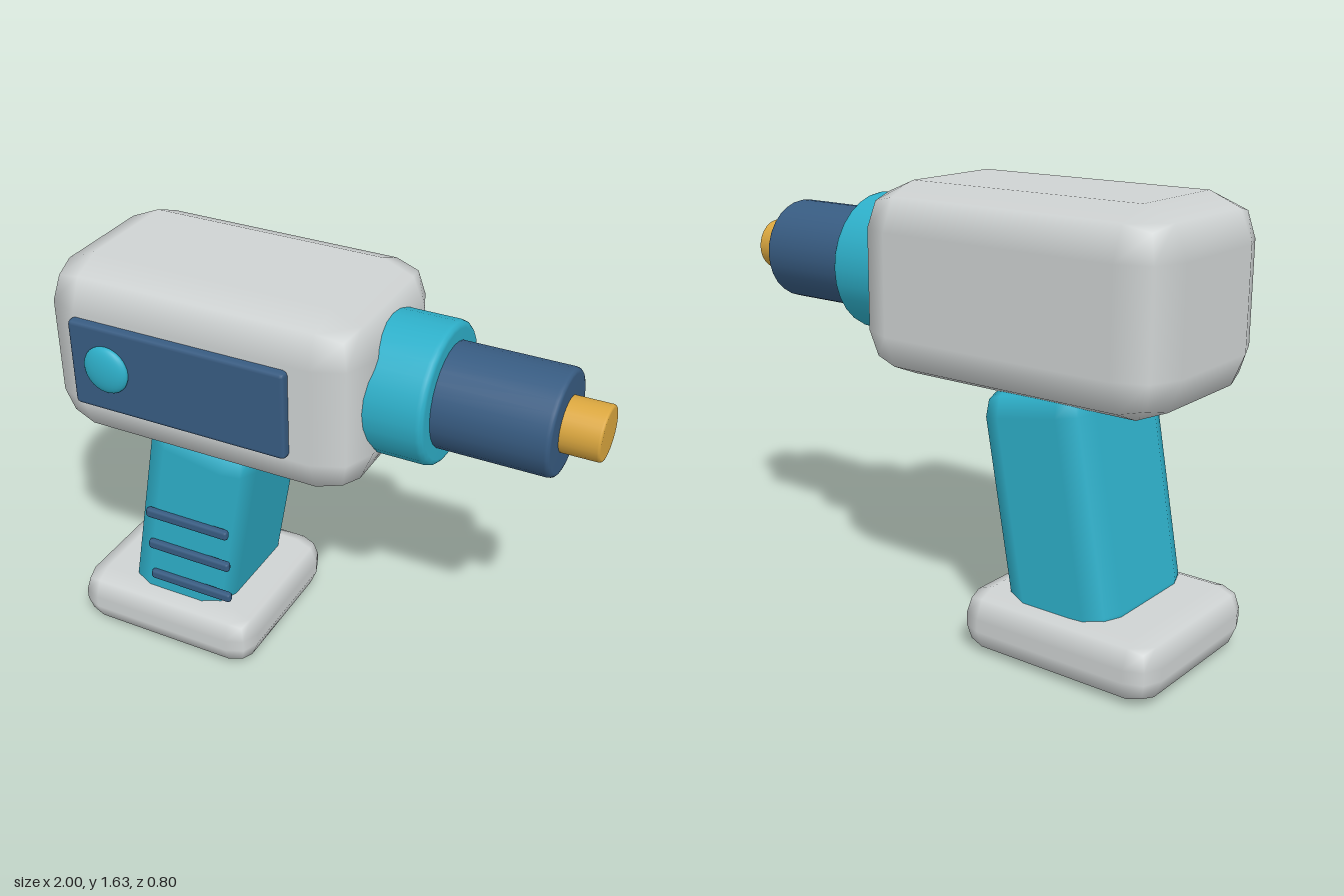
import * as THREE from 'three';
import { RoundedBoxGeometry } from 'three/addons/geometries/RoundedBoxGeometry.js';

const MID_Z = -0.035; // centre plane of the tool
const AXIS_Y = 1.283; // height of the drive axis

function material(name, color) {
  const m = new THREE.MeshStandardMaterial({ color });
  m.name = name;
  return m;
}

export function createModel() {
  const shell = material('light grey shell', 0xcfd3d3);
  const teal = material('teal grip', 0x2eb0ca);
  const navy = material('navy trim', 0x385c82);
  const gold = material('gold bit', 0xdba73f);

  const group = new THREE.Group();
  group.name = 'cordlessDrill';

  function add(name, geometry, mat, x, y, z) {
    const mesh = new THREE.Mesh(geometry, mat);
    mesh.name = name;
    mesh.position.set(x, y, z);
    group.add(mesh);
    return mesh;
  }

  // Box with a two-facet bevel on every edge
  function box(name, size, radius, mat, x, y, z) {
    return add(name, new RoundedBoxGeometry(...size, 1, radius), mat, x, y, z);
  }

  // Cylinder along x with softened rims
  function barrel(name, x0, x1, r, bevel, mat) {
    const h = (x1 - x0) / 2;
    const points = [new THREE.Vector2(0, -h)];
    for (const [side, start] of [[-1, -Math.PI / 2], [1, 0]]) {
      for (let i = 0; i <= 3; i++) {
        const a = start + (i / 3) * Math.PI / 2;
        points.push(new THREE.Vector2(
          r - bevel + Math.cos(a) * bevel,
          side * (h - bevel) + Math.sin(a) * bevel));
      }
    }
    points.push(new THREE.Vector2(0, h));
    const geometry = new THREE.LatheGeometry(points, 28);
    geometry.rotateZ(-Math.PI / 2);
    return add(name, geometry, mat, (x0 + x1) / 2, AXIS_Y, MID_Z);
  }

  // Motor housing and battery foot
  box('housing', [1.25, 0.69, 0.735], 0.163, shell, -0.375, 1.284, MID_Z);
  box('batteryBase', [0.79, 0.235, 0.695], 0.095, shell, -0.605, 0.1175, MID_Z);

  // Leaning handle
  const handle = box('handle', [0.44, 0.89, 0.545], 0.1, teal, -0.518, 0.55, -0.042);
  handle.rotation.z = -0.18;

  // Grip bars on the handle's side
  for (const y of [0.305, 0.455, 0.606]) {
    box('gripBar', [0.36, 0.04, 0.03], 0.012, navy, -0.49, y, 0.239);
  }

  // Side panel with its button
  box('sidePanel', [0.855, 0.335, 0.06], 0.016, navy, -0.417, 1.283, 0.335);
  const button = add('button', new THREE.SphereGeometry(1, 24, 16), teal, -0.69, 1.293, 0.371);
  button.scale.set(0.09, 0.09, 0.031);

  // Collar, chuck and bit
  barrel('collar', 0.1, 0.445, 0.257, 0.025, teal);
  barrel('chuck', 0.3, 0.86, 0.19, 0.018, navy);
  barrel('bit', 0.75, 1.0, 0.099, 0.01, gold);

  return group;
}
